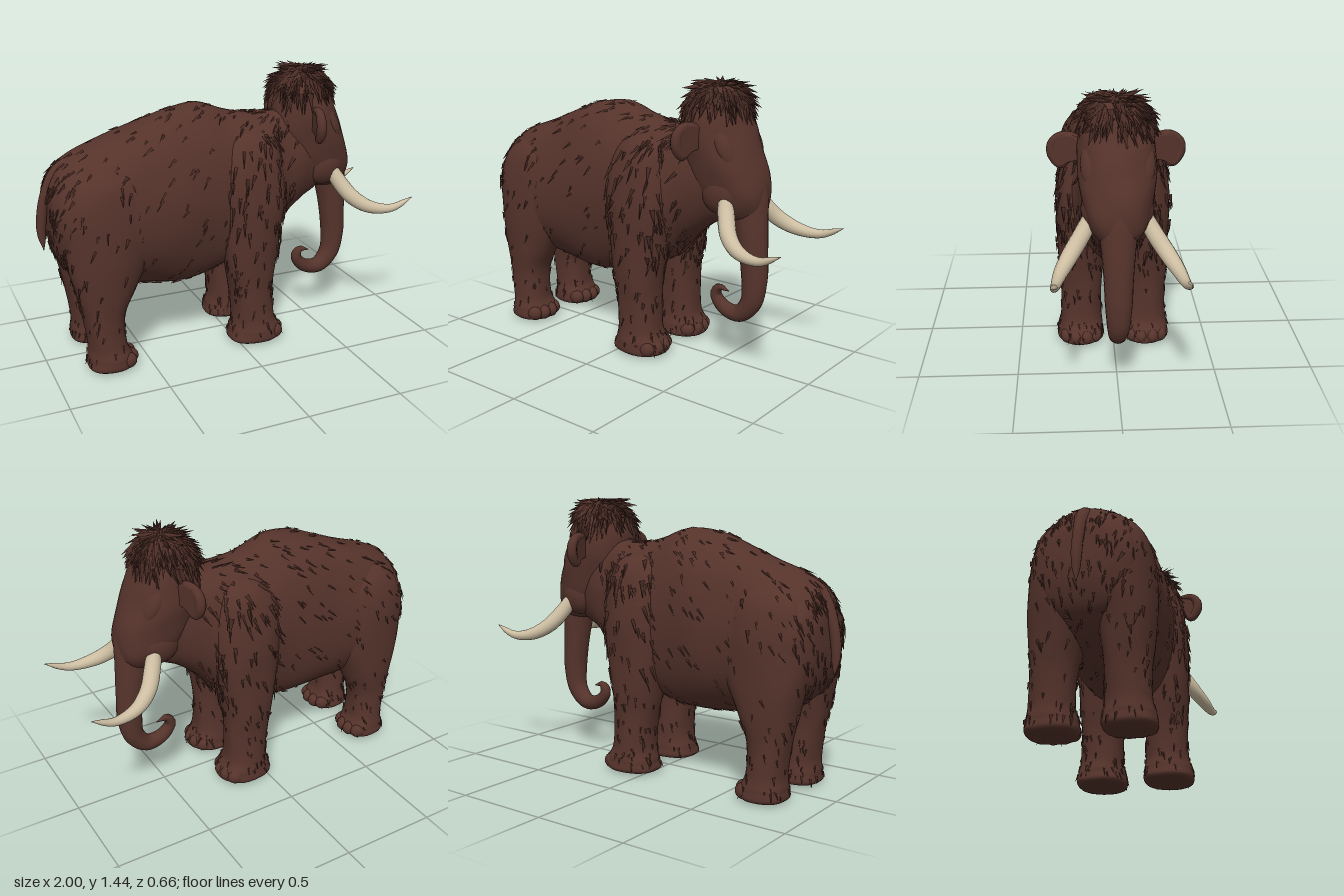
import * as THREE from 'three';
import { mergeGeometries } from 'three/addons/utils/BufferGeometryUtils.js';
import { ParametricGeometry } from 'three/addons/geometries/ParametricGeometry.js';

const V = (x, y, z) => new THREE.Vector3(x, y, z);

// Seeded random numbers in [0, 1)
let seed = 7;
const rand = () => (seed = (seed * 16807) % 2147483647) / 2147483647;
const jitter = (a) => (rand() - 0.5) * 2 * a;

// Smooth surface through rows [position, low, high, halfWidth, zCentre] along the x or y axis
function makeSurface(axis, rows, power = 0.88) {
  const span = new THREE.CatmullRomCurve3(rows.map((r) => V(r[0], r[1], r[2])), false, 'catmullrom');
  const side = new THREE.CatmullRomCurve3(rows.map((r) => V(r[3], r[4] || 0, 0)), false, 'catmullrom');
  const round = (n) => Math.sign(n) * Math.abs(n) ** power;
  return (u, v, target) => {
    const a = u * Math.PI * 2, p = span.getPoint(v), w = side.getPoint(v);
    const lump = 1 + 0.012 * Math.sin(5 * a + 17 * v) + 0.008 * Math.sin(3 * a - 31 * v);
    const mid = (p.y + p.z) / 2, half = (Math.abs(p.z - p.y) / 2) * lump, hw = Math.abs(w.x) * lump;
    if (axis === 'x') {
      // Flanks lean in towards the spine
      const up = Math.max(0, -Math.sin(a));
      target.set(p.x, mid - half * round(Math.sin(a)), w.y + hw * round(Math.cos(a)) * (1 - 0.1 * up));
    } else target.set(mid + half * round(Math.cos(a)), Math.max(0, p.x), w.y - hw * round(Math.sin(a)));
    return target;
  };
}

// Tapered tube: radii are spread evenly along the curve
function taperedTube(points, radii, segments, sides) {
  const curve = new THREE.CatmullRomCurve3(points);
  const geo = new THREE.TubeGeometry(curve, segments, 1, sides);
  const pos = geo.attributes.position, p = V(), c = V();
  for (let i = 0; i < pos.count; i++) {
    const t = Math.floor(i / (sides + 1)) / segments;
    const f = t * (radii.length - 1), k = Math.min(Math.floor(f), radii.length - 2);
    curve.getPointAt(t, c);
    p.fromBufferAttribute(pos, i).sub(c).multiplyScalar(THREE.MathUtils.lerp(radii[k], radii[k + 1], f - k)).add(c);
    pos.setXYZ(i, p.x, p.y, p.z);
  }
  return geo;
}

// One pointed lock of hair
function tuft(at, dir, length, width) {
  const geo = new THREE.ConeGeometry(width, length, 3, 1, true);
  geo.translate(0, length * 0.4, 0);
  geo.applyQuaternion(new THREE.Quaternion().setFromUnitVectors(V(0, 1, 0), dir.normalize()));
  return geo.translate(at.x, at.y, at.z);
}

// Scatter locks over a surface; flow(point) gives the lie of the coat
function scatter(list, surface, count, v0, v1, length, width, lift, flow) {
  for (let i = 0; i < count; i++) {
    const u = rand(), v = v0 + rand() * (v1 - v0), e = 0.004;
    const p = surface(u, v, V());
    const n = surface(u + e, v, V()).sub(p).cross(surface(u, v + e, V()).sub(p)).normalize();
    const d = flow(p).normalize();
    d.addScaledVector(n, -d.dot(n)).normalize().add(V(jitter(0.25), jitter(0.25), jitter(0.25)));
    d.addScaledVector(n, lift - d.dot(n));
    list.push(tuft(p, d, length * (0.6 + rand() * 0.7), width * (0.7 + rand() * 0.6)));
  }
}

export function createModel() {
  const model = new THREE.Group();
  const brown = new THREE.MeshStandardMaterial({ color: 0x55332b });
  brown.name = 'brownCoat';
  const ivory = new THREE.MeshStandardMaterial({ color: 0xcdbea2 });
  ivory.name = 'ivory';
  const add = (name, geo, mat = brown) => {
    const mesh = new THREE.Mesh(geo, mat);
    mesh.name = name;
    model.add(mesh);
    return mesh;
  };
  const ball = (name, x, y, z, rx, ry, rz) => {
    const mesh = add(name, new THREE.SphereGeometry(1, 20, 14));
    mesh.position.set(x, y, z);
    mesh.scale.set(rx, ry, rz);
    return mesh;
  };

  // Barrel of the body and neck, from rump to throat
  const body = makeSurface('x', [
    [-0.945, 0.79, 0.8, 0.003], [-0.943, 0.70, 0.90, 0.10], [-0.925, 0.60, 0.96, 0.18],
    [-0.88, 0.50, 1.03, 0.24], [-0.78, 0.43, 1.095, 0.275], [-0.62, 0.39, 1.155, 0.283],
    [-0.45, 0.365, 1.215, 0.275], [-0.3, 0.35, 1.265, 0.27], [-0.15, 0.36, 1.28, 0.255],
    [0, 0.41, 1.225, 0.25], [0.12, 0.46, 1.205, 0.25], [0.22, 0.51, 1.205, 0.225],
    [0.3, 0.6, 1.205, 0.19], [0.42, 0.7, 1.18, 0.165], [0.54, 0.78, 1.1, 0.12], [0.55, 0.94, 0.95, 0.003],
  ]);
  add('body', new ParametricGeometry(body, 48, 90));

  // Skull, chin to crown
  const head = makeSurface('y', [
    [0.765, 0.56, 0.57, 0.003], [0.77, 0.49, 0.68, 0.08], [0.82, 0.43, 0.715, 0.13],
    [0.9, 0.36, 0.725, 0.16], [1.0, 0.31, 0.705, 0.178], [1.1, 0.28, 0.665, 0.187],
    [1.2, 0.28, 0.625, 0.183], [1.28, 0.295, 0.59, 0.168], [1.35, 0.325, 0.565, 0.138],
    [1.4, 0.39, 0.52, 0.08], [1.41, 0.455, 0.46, 0.003],
  ]);
  add('head', new ParametricGeometry(head, 40, 50));

  // Trunk with curled tip
  add('trunk', taperedTube([
    V(0.54, 1.1, 0), V(0.615, 0.92, 0), V(0.648, 0.75, 0), V(0.667, 0.6, 0), V(0.677, 0.45, 0),
    V(0.66, 0.335, 0), V(0.59, 0.262, 0), V(0.5, 0.276, 0), V(0.45, 0.335, 0), V(0.47, 0.376, 0), V(0.53, 0.365, 0),
  ], [0.05, 0.1, 0.11, 0.097, 0.084, 0.076, 0.07, 0.067, 0.06, 0.052, 0.043, 0.036, 0.028, 0.001], 70, 20));

  // Tail
  add('tail', taperedTube([
    V(-0.76, 1.055, 0), V(-0.88, 1.0, 0), V(-0.948, 0.88, 0), V(-0.975, 0.74, 0), V(-0.97, 0.605, 0),
  ], [0.04, 0.042, 0.038, 0.032, 0.028, 0.026, 0.026, 0.02, 0.001], 30, 12));

  const fur = [];
  const down = (x) => () => V(x, -1, 0);
  for (const s of [-1, 1]) {
    const side = s < 0 ? 'left' : 'right';

    // Legs, sole to shoulder or hip
    const front = makeSurface('y', [
      [0, 0.1, 0.102, 0.001, 0.175 * s], [0.005, -0.035, 0.24, 0.115, 0.175 * s], [0.06, -0.035, 0.245, 0.122, 0.175 * s],
      [0.13, -0.02, 0.21, 0.11, 0.173 * s], [0.28, -0.03, 0.205, 0.108, 0.171 * s], [0.42, -0.055, 0.215, 0.118, 0.17 * s],
      [0.6, -0.085, 0.245, 0.13, 0.163 * s], [0.8, -0.11, 0.27, 0.138, 0.157 * s], [0.98, -0.1, 0.26, 0.125, 0.143 * s],
      [1.1, -0.04, 0.22, 0.09, 0.125 * s], [1.16, 0.08, 0.12, 0.01, 0.1 * s],
    ]);
    const hind = makeSurface('y', [
      [0, -0.7, -0.698, 0.001, 0.175 * s], [0.005, -0.815, -0.595, 0.11, 0.175 * s], [0.06, -0.82, -0.59, 0.118, 0.175 * s],
      [0.13, -0.815, -0.62, 0.105, 0.175 * s], [0.28, -0.835, -0.62, 0.105, 0.172 * s], [0.42, -0.865, -0.56, 0.12, 0.168 * s],
      [0.6, -0.905, -0.48, 0.135, 0.16 * s], [0.8, -0.915, -0.45, 0.138, 0.153 * s], [0.95, -0.87, -0.48, 0.118, 0.142 * s],
      [1.04, -0.78, -0.58, 0.07, 0.12 * s], [1.07, -0.7, -0.68, 0.01, 0.1 * s],
    ]);
    add(side + 'FrontLeg', new ParametricGeometry(front, 32, 50));
    add(side + 'HindLeg', new ParametricGeometry(hind, 32, 50));

    // Toes across the front of each foot
    for (const [x, name] of [[0.155, 'FrontToe'], [-0.67, 'HindToe']])
      for (let i = 0; i < 4; i++) {
        const a = -0.95 + i * 0.63;
        ball(side + name, x + 0.06 * Math.cos(a), 0.042, 0.175 * s + 0.09 * Math.sin(a), 0.048, 0.042, 0.038);
      }

    // Cheek, brow ridge and tusk
    ball(side + 'Cheek', 0.54, 0.9, 0.105 * s, 0.11, 0.11, 0.068).rotation.z = 0.4;
    ball(side + 'Brow', 0.56, 1.13, 0.112 * s, 0.05, 0.12, 0.062).rotation.z = 0.45;
    add(side + 'Tusk', taperedTube([
      V(0.58, 0.875, 0.13 * s), V(0.61, 0.81, 0.165 * s), V(0.665, 0.73, 0.222 * s),
      V(0.75, 0.678, 0.268 * s), V(0.87, 0.664, 0.293 * s), V(0.995, 0.712, 0.302 * s),
    ], [0.035, 0.041, 0.042, 0.041, 0.038, 0.033, 0.027, 0.021, 0.015, 0.001], 45, 14), ivory);

    // Ear: rounded flap standing out from the head and swept back, with a rolled rim
    const outline = [[-0.03, 0.05], [0.03, 0.073], [0.08, 0.068], [0.117, 0.035], [0.122, -0.015], [0.085, -0.068], [0.04, -0.045], [-0.03, -0.03]];
    const ear = new THREE.Group();
    ear.name = side + 'Ear';
    const flap = new THREE.Mesh(new THREE.ExtrudeGeometry(
      new THREE.Shape(new THREE.SplineCurve(outline.map(([a, b]) => new THREE.Vector2(a * s, b))).getPoints(28)),
      { depth: 0.016, bevelThickness: 0.01, bevelSize: 0.008, bevelSegments: 3 }), brown);
    flap.name = 'earFlap';
    const rim = new THREE.Mesh(taperedTube(outline.slice(0, 7).map(([a, b]) => V(a * s, b, 0.012)),
      [0.012, 0.018, 0.022, 0.026, 0.027, 0.022, 0.01], 30, 10), brown);
    rim.name = 'earRim';
    ear.add(flap, rim);
    ear.position.set(0.45, 1.155, 0.185 * s);
    ear.rotation.y = -Math.PI / 2 - 0.22 * s;
    model.add(ear);

    // Coat on the legs, thicker at shoulder and ankle
    scatter(fur, front, 180, 0.55, 0.92, 0.075, 0.012, 0.16, down(-0.2));
    scatter(fur, front, 50, 0.3, 0.55, 0.05, 0.008, 0.1, down(-0.2));
    scatter(fur, front, 40, 0.16, 0.3, 0.035, 0.007, 0.15, down(0));
    scatter(fur, hind, 90, 0.45, 0.92, 0.055, 0.009, 0.12, down(-0.3));
    scatter(fur, hind, 50, 0.16, 0.45, 0.04, 0.007, 0.12, down(-0.2));
  }

  // Coat on the body and neck
  scatter(fur, body, 340, 0.13, 0.72, 0.055, 0.008, 0.1, down(-0.8));
  scatter(fur, body, 140, 0.6, 0.83, 0.065, 0.011, 0.16, down(-0.5));
  scatter(fur, body, 80, 0.06, 0.2, 0.05, 0.008, 0.16, down(-0.2));
  add('coat', mergeGeometries(fur));

  // Shaggy crown, radiating from the top of the head
  const crown = [];
  const radiate = (p) => V(p.x - 0.455, -0.14, p.z);
  scatter(crown, head, 150, 0.7, 0.84, 0.1, 0.019, 0.1, radiate);
  scatter(crown, head, 140, 0.8, 0.99, 0.105, 0.018, 0.22, radiate);
  add('crownHair', mergeGeometries(crown));
  return model;
}
